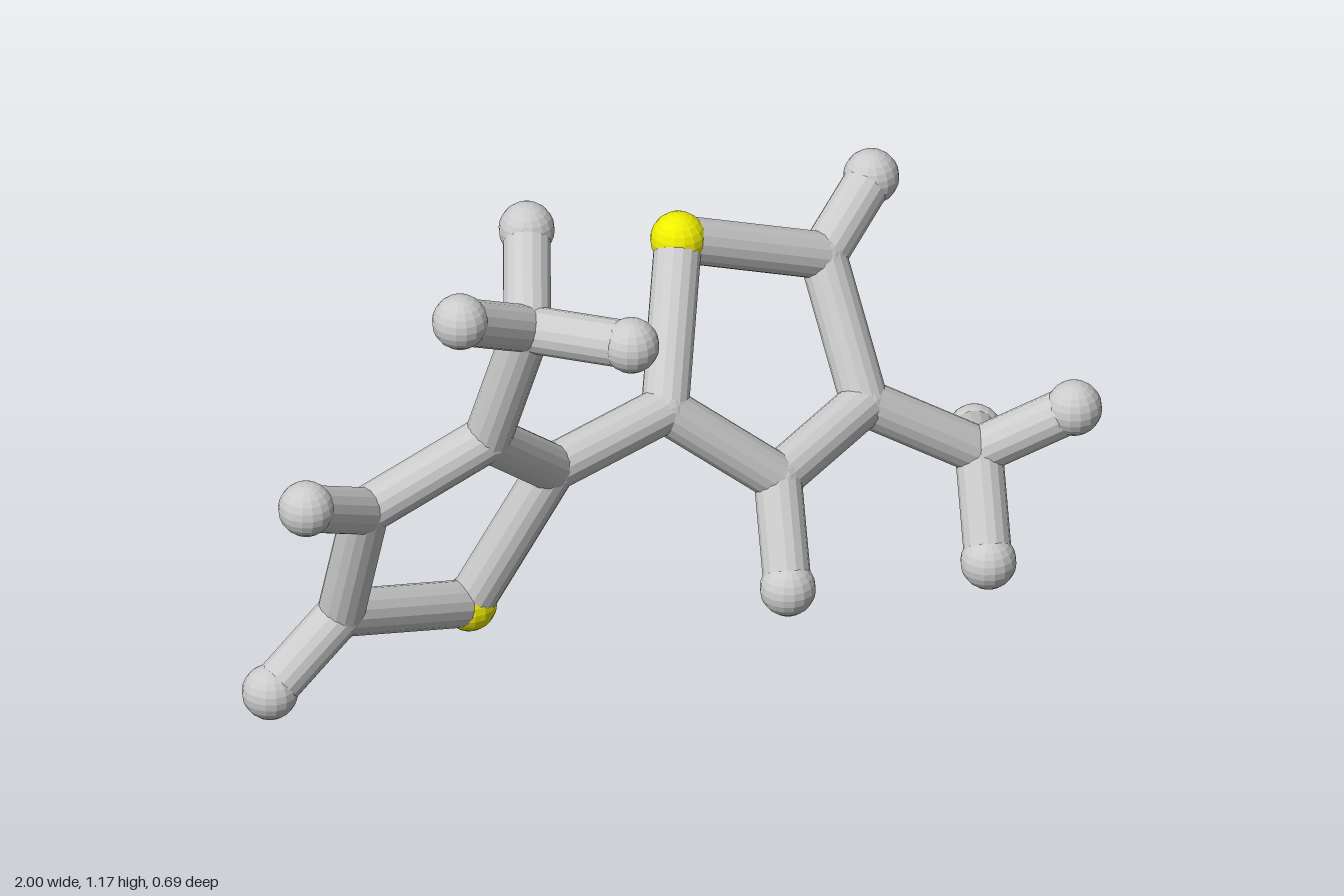
import * as THREE from 'three';

const STICK = 0.051, JOINT = 0.052, BALL = 0.06;

export function createModel() {
  const model = new THREE.Group();
  model.name = 'stickMolecule';
  const grey = new THREE.MeshStandardMaterial({ color: 0xcccccc, flatShading: true });
  const yellow = new THREE.MeshStandardMaterial({ color: 0xf0ee00, flatShading: true });

  // Atom centres: c = carbon joint, s = sulphur, h = hydrogen
  const atoms = {
    // left ring
    s1: [-0.38, 0.167, -0.195], c1: [-0.245, 0.505, -0.08], c2: [-0.467, 0.685, -0.01],
    c3: [-0.745, 0.575, -0.068], c4: [-0.74, 0.28, -0.163],
    h3: [-0.943, 0.675, -0.01], h4: [-0.91, 0.135, -0.185],
    // left methyl
    c5: [-0.432, 0.985, 0.085], h5a: [-0.64, 1.093, 0.128],
    h5b: [-0.318, 1.117, -0.073], h5c: [-0.307, 0.996, 0.287],
    // right ring
    c6: [0.045, 0.553, -0.073], s2: [0.217, 0.824, -0.26], c7: [0.56, 0.69, -0.21],
    c8: [0.545, 0.415, -0.04], c9: [0.262, 0.362, 0.035],
    h7: [0.742, 0.787, -0.285], h9: [0.197, 0.172, 0.16],
    // right methyl
    c10: [0.782, 0.257, 0.046], h10a: [0.934, 0.372, 0.18],
    h10b: [0.907, 0.174, -0.14], h10c: [0.715, 0.067, 0.172],
  };
  const bonds = [
    's1 c1', 'c1 c2', 'c2 c3', 'c3 c4', 'c4 s1', 'c3 h3', 'c4 h4',
    'c2 c5', 'c5 h5a', 'c5 h5b', 'c5 h5c',
    'c1 c6',
    'c6 s2', 's2 c7', 'c7 c8', 'c8 c9', 'c9 c6', 'c7 h7', 'c9 h9',
    'c8 c10', 'c10 h10a', 'c10 h10b', 'c10 h10c',
  ];

  // Balls and joints
  const ball = new THREE.SphereGeometry(BALL, 16, 12);
  const joint = new THREE.SphereGeometry(JOINT, 16, 12);
  const kinds = {
    c: ['carbonJoint', joint, grey],
    h: ['hydrogenBall', ball, grey],
    s: ['sulphurBall', ball, yellow],
  };
  for (const [key, position] of Object.entries(atoms)) {
    const [name, geometry, material] = kinds[key[0]];
    const mesh = new THREE.Mesh(geometry, material);
    mesh.name = name;
    mesh.position.set(...position);
    model.add(mesh);
  }

  // Sticks between atom centres
  const up = new THREE.Vector3(0, 1, 0);
  for (const bond of bonds) {
    const [a, b] = bond.split(' ').map((key) => new THREE.Vector3(...atoms[key]));
    const direction = b.clone().sub(a);
    const stick = new THREE.Mesh(
      new THREE.CylinderGeometry(STICK, STICK, direction.length(), 16), grey);
    stick.name = 'bondStick';
    stick.position.copy(a).add(b).multiplyScalar(0.5);
    stick.quaternion.setFromUnitVectors(up, direction.normalize());
    model.add(stick);
  }
  return model;
}
